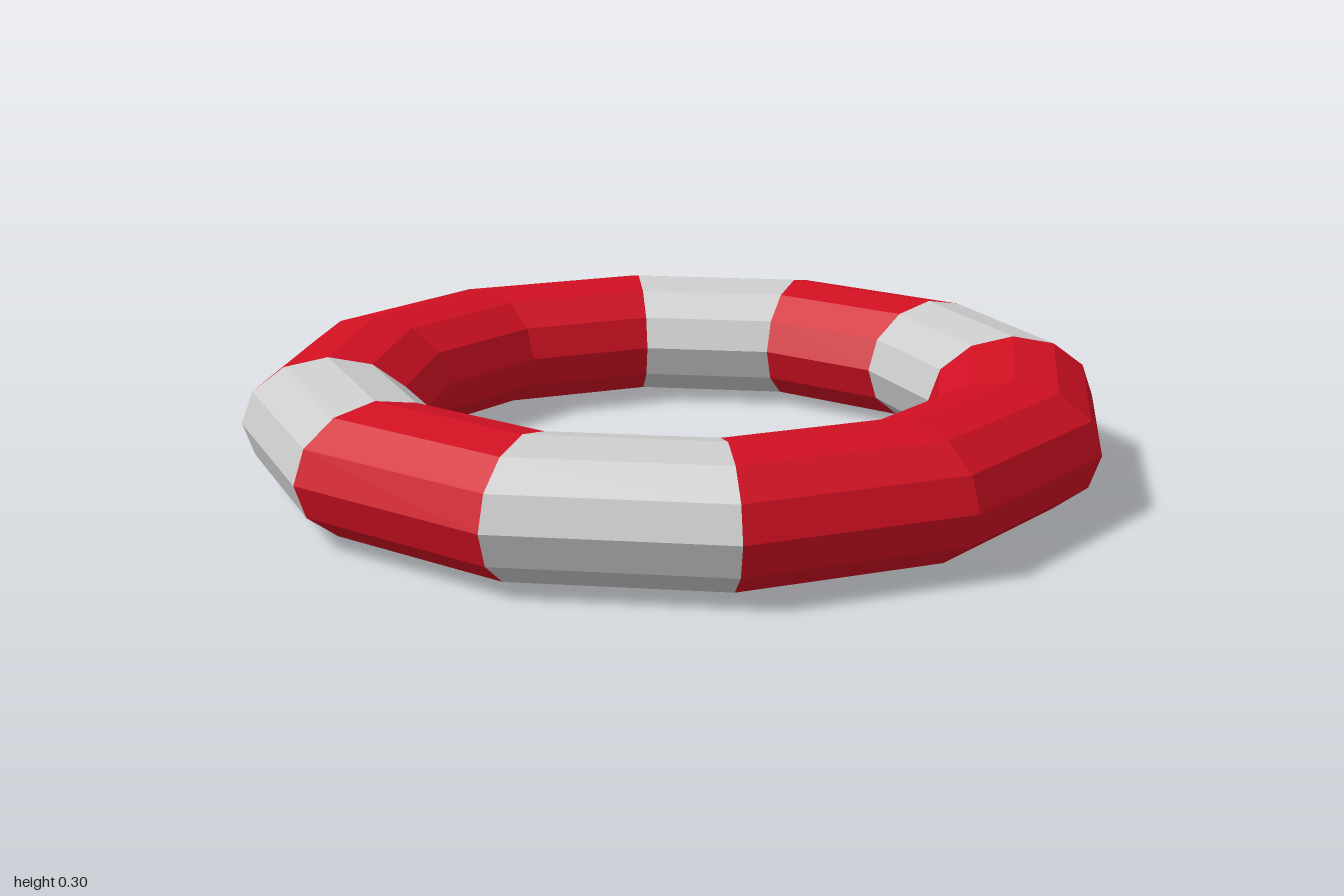
import * as THREE from 'three';

const SIDES = 12;
const STEP = Math.PI / 6;

export function createModel() {
  const group = new THREE.Group();
  group.name = 'lifebuoy';
  const red = new THREE.MeshStandardMaterial({ color: 0xd01022, flatShading: true });
  const grey = new THREE.MeshStandardMaterial({ color: 0xcccccc, flatShading: true });

  // Flattened twelve-sided cross-section, resting on the ground
  const profile = [];
  for (let i = 0; i <= SIDES; i++) {
    const a = (i / SIDES) * Math.PI * 2;
    profile.push(new THREE.Vector2(0.8 + 0.2 * Math.cos(a), 0.15 + 0.15 * Math.sin(a)));
  }

  // Ring sections: [first facet, number of facets], counted from the front towards +x
  const addSections = (name, material, sections) => {
    for (const [start, count] of sections) {
      const geometry = new THREE.LatheGeometry(profile, count, start * STEP, count * STEP);
      const mesh = new THREE.Mesh(geometry, material);
      mesh.name = name;
      group.add(mesh);
    }
  };
  addSections('greyBand', grey, [[0, 1], [4, 1], [6, 1], [10, 1]]);
  addSections('redSection', red, [[1, 3], [5, 1], [7, 3], [11, 1]]);
  return group;
}
